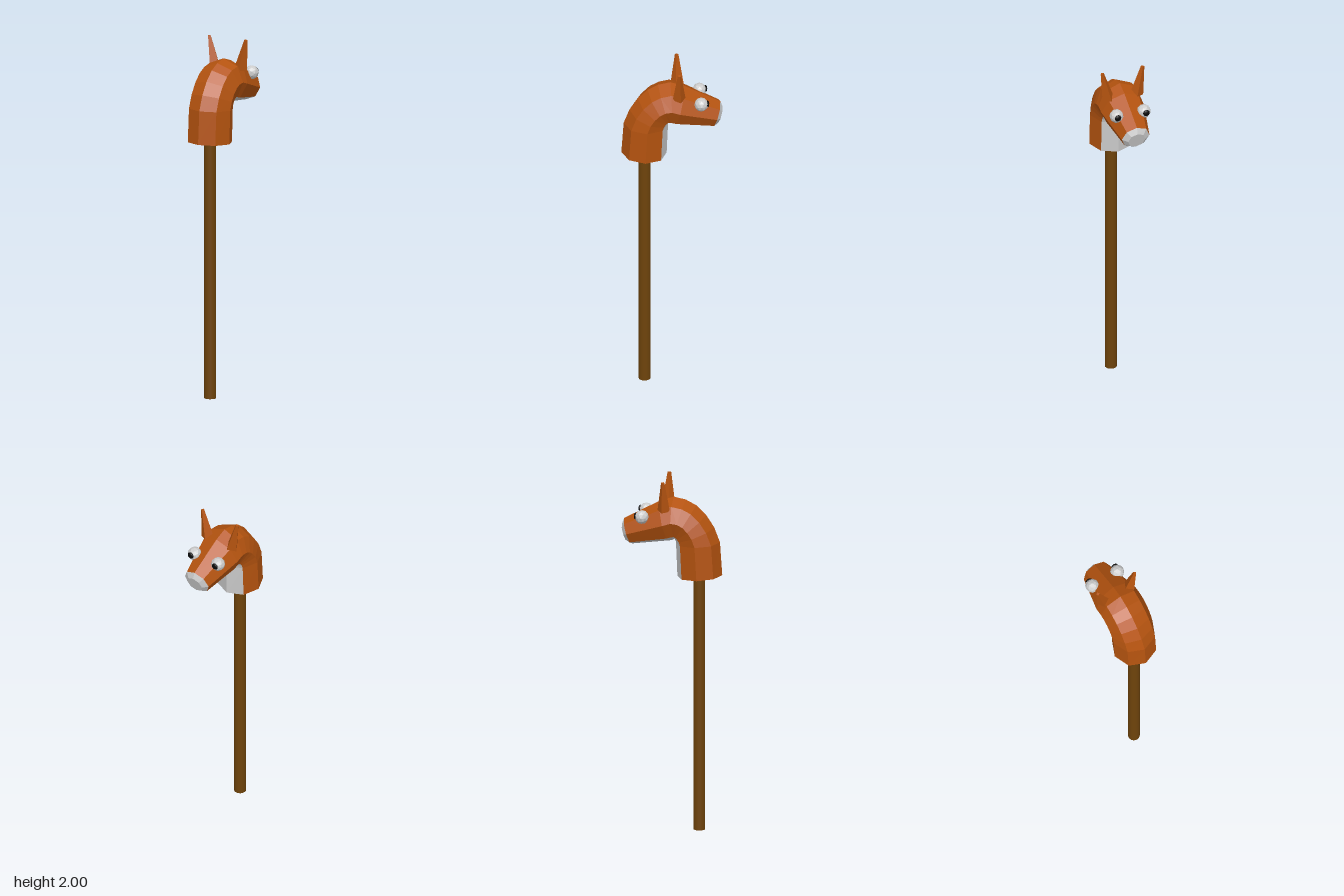
import * as THREE from 'three';

const SIDES = 8;
// Octagonal ring spanning spine point (z, y) to throat point (z, y) with a half width
const ring = ([sz, sy, tz, ty, w]) => Array.from({ length: SIDES }, (_, k) => {
  const a = (k / SIDES) * Math.PI * 2, c = Math.cos(a) / 2;
  return [w * Math.sin(a), (sy + ty) / 2 + c * (sy - ty), (sz + tz) / 2 + c * (sz - tz)];
});

// Skin chosen sides between consecutive rings
function skin(rings, sides) {
  const out = [];
  for (let i = 0; i + 1 < rings.length; i++) {
    for (const k of sides) {
      const n = (k + 1) % SIDES;
      const [a, b, c, d] = [rings[i][k], rings[i][n], rings[i + 1][n], rings[i + 1][k]];
      out.push(...a, ...b, ...c, ...a, ...c, ...d);
    }
  }
  return out;
}

// Close a ring with a fan
function cap(r, forward) {
  const out = [];
  for (let k = 1; k + 1 < SIDES; k++) {
    out.push(...r[0], ...(forward ? r[k] : r[k + 1]), ...(forward ? r[k + 1] : r[k]));
  }
  return out;
}

function solid(positions) {
  const g = new THREE.BufferGeometry();
  g.setAttribute('position', new THREE.Float32BufferAttribute(positions, 3));
  g.computeVertexNormals();
  return g;
}

export function createModel() {
  const model = new THREE.Group();
  model.name = 'hobbyHorse';
  const coat = new THREE.MeshStandardMaterial({ color: 0xb4530f, flatShading: true });
  const pale = new THREE.MeshStandardMaterial({ color: 0xcccccc, flatShading: true });
  const wood = new THREE.MeshStandardMaterial({ color: 0x6e430b });
  const black = new THREE.MeshStandardMaterial({ color: 0x080808 });

  const add = (name, geometry, material, x = 0, y = 0, z = 0) => {
    const mesh = new THREE.Mesh(geometry, material);
    mesh.name = name;
    mesh.position.set(x, y, z);
    model.add(mesh);
    return mesh;
  };

  // Stick
  add('stick', new THREE.CylinderGeometry(0.033, 0.033, 1.46, 20), wood, 0, 0.73, 0.152);

  // Neck and head: spine z, y, throat z, y, half width
  const rings = [
    [0.28, 1.453, 0.03, 1.44, 0.125],
    [0.267, 1.64, 0.022, 1.63, 0.125],
    [0.235, 1.724, 0.02, 1.64, 0.125],
    [0.19, 1.793, 0.017, 1.645, 0.125],
    [0.135, 1.846, 0.016, 1.648, 0.125],
    [0.077, 1.876, 0.013, 1.65, 0.125],
    [0.01, 1.89, 0.008, 1.645, 0.125],
    [-0.065, 1.865, -0.01, 1.64, 0.125],
    [-0.266, 1.757, -0.222, 1.613, 0.081],
  ].map(ring);
  const muzzleEnd = ring([-0.279, 1.723, -0.25, 1.629, 0.05]);
  add('headAndNeck', solid([...skin(rings, [0, 1, 2, 5, 6, 7]), ...cap(rings[0], false)]), coat);
  add('throat', solid(skin(rings, [3, 4])), pale);
  add('muzzle', solid([
    ...skin([rings[rings.length - 1], muzzleEnd], [0, 1, 2, 3, 4, 5, 6, 7]),
    ...cap(muzzleEnd, true),
  ]), pale);

  // Ears, eyes and pupils on both sides
  for (const s of [-1, 1]) {
    const side = s > 0 ? 'left' : 'right';
    const ear = add(side + 'Ear',
      new THREE.CylinderGeometry(0.01, 0.037, 0.172, 4).rotateY(s * 0.23),
      coat, s * 0.101, 1.914, -0.033);
    ear.rotation.z = -s * 0.205;
    add(side + 'Eye', new THREE.IcosahedronGeometry(0.039, 1), pale, s * 0.08, 1.788, -0.156);
    const pupil = add(side + 'Pupil', new THREE.SphereGeometry(0.019, 12, 8), black,
      s * 0.083, 1.793, -0.19);
    pupil.scale.z = 0.5;
  }
  return model;
}
